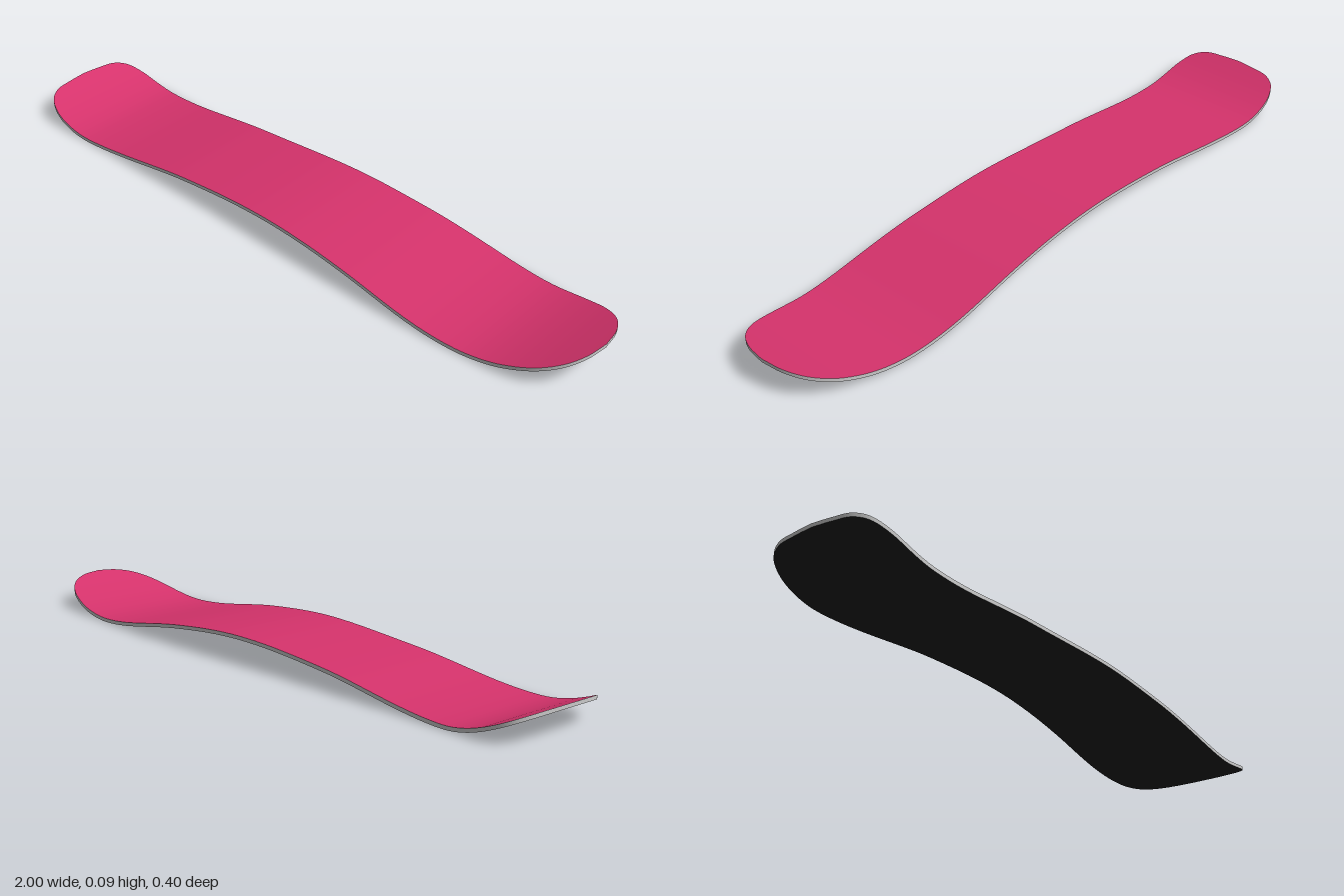
import * as THREE from 'three';

const THICKNESS = 0.011;

// Underside height along the board: [x, y, slope]
const CAMBER = [
  [-1, 0.068, -0.5], [-0.77, 0, 0], [-0.33, 0.046, 0.08], [0.02, 0.066, 0],
  [0.3, 0.047, -0.11], [0.68, 0, 0], [1, 0.078, 0.38],
];

// Half outline from tail to nose: [x, half width]
const OUTLINE = [
  [-1, 0], [-0.996, 0.06], [-0.988, 0.118], [-0.965, 0.155], [-0.92, 0.177], [-0.85, 0.186],
  [-0.6, 0.181], [-0.2, 0.174], [0.15, 0.184], [0.52, 0.199], [0.72, 0.191], [0.83, 0.178],
  [0.91, 0.153], [0.96, 0.115], [0.988, 0.065], [1, 0],
];

// Cubic Hermite lookup of the camber line
function heightAt(x) {
  let i = 0;
  while (i < CAMBER.length - 2 && x > CAMBER[i + 1][0]) i++;
  const [x0, y0, s0] = CAMBER[i];
  const [x1, y1, s1] = CAMBER[i + 1];
  const h = x1 - x0;
  const t = THREE.MathUtils.clamp((x - x0) / h, 0, 1);
  const u = 1 - t;
  return u * u * (1 + 2 * t) * y0 + t * u * u * h * s0 + t * t * (3 - 2 * t) * y1 - t * t * u * h * s1;
}

// Smooth surface joining two edge lines of equal length
function strip(name, a, b, color) {
  const positions = [];
  const index = [];
  a.forEach((p, i) => {
    positions.push(...p, ...b[i]);
    if (i > 0) {
      const k = 2 * i;
      index.push(k - 2, k - 1, k + 1, k - 2, k + 1, k);
    }
  });
  const geometry = new THREE.BufferGeometry();
  geometry.setAttribute('position', new THREE.Float32BufferAttribute(positions, 3));
  geometry.setIndex(index);
  geometry.computeVertexNormals();
  const mesh = new THREE.Mesh(geometry, new THREE.MeshStandardMaterial({ color }));
  mesh.name = name;
  return mesh;
}

export function createModel() {
  const board = new THREE.Group();
  board.name = 'snowboard';

  const curve = new THREE.CatmullRomCurve3(OUTLINE.map(([x, w]) => new THREE.Vector3(x, 0, w)));
  const stations = curve.getPoints(150);
  const edge = (side, lift) => stations.map((p) => [p.x, heightAt(p.x) + lift, side * Math.max(p.z, 0)]);

  const topFront = edge(1, THICKNESS);
  const topBack = edge(-1, THICKNESS);
  const baseFront = edge(1, 0);
  const baseBack = edge(-1, 0);

  board.add(
    strip('topSheet', topBack, topFront, 0xd6336c),
    strip('base', baseFront, baseBack, 0x1f1f1f),
    strip('frontSidewall', topFront, baseFront, 0xcccccc),
    strip('backSidewall', baseBack, topBack, 0xcccccc),
  );
  return board;
}
